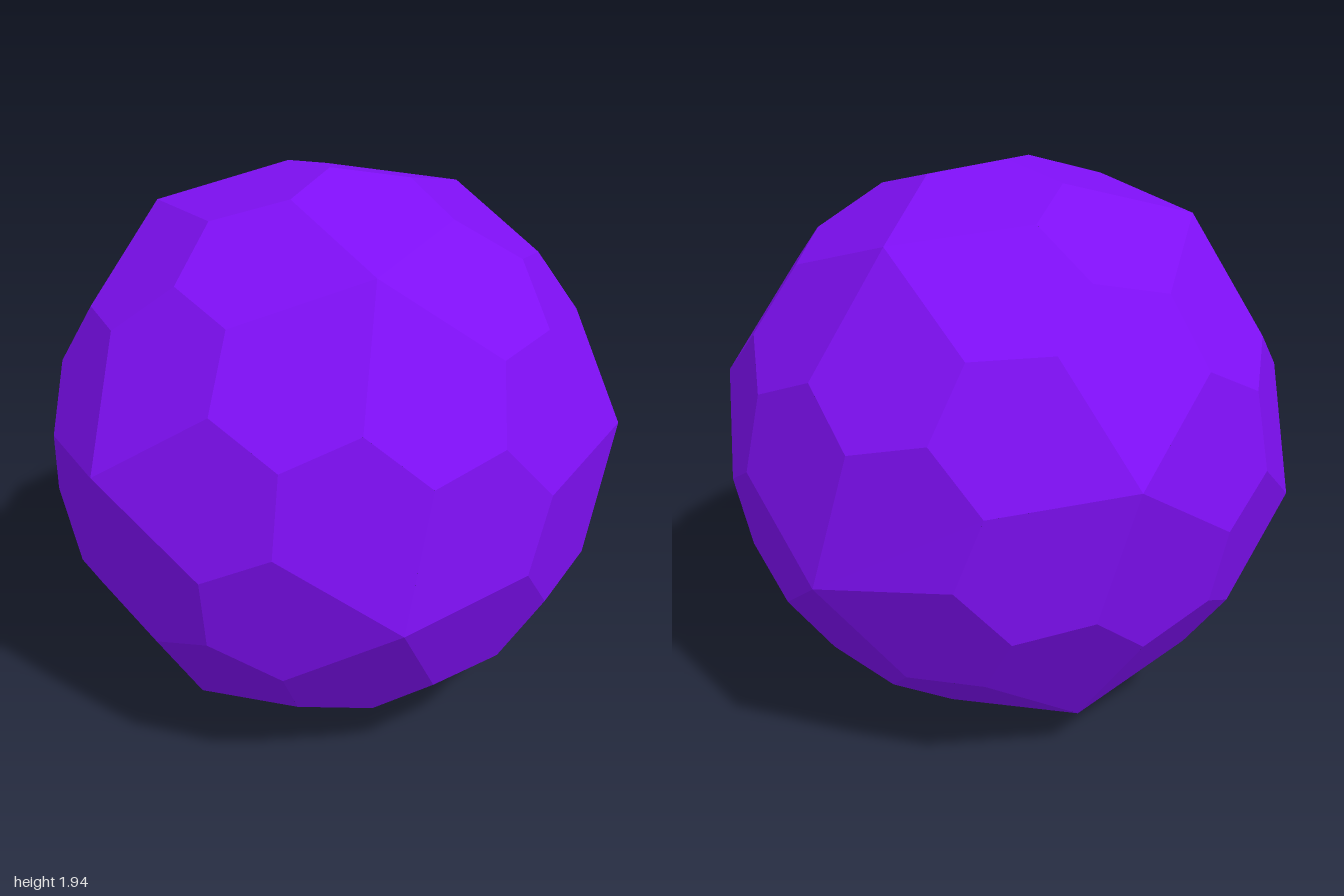
import * as THREE from 'three';

// Pentagonal hexecontahedron: one irregular pentagon repeated by the 60 icosahedral rotations.
const DEG = Math.PI / 180;
const R5 = 1.018;   // radius of the corners where five faces meet
const R3 = 0.971;   // radius of the corners where three faces meet

// Point from radius, angle from +y, and azimuth from +x towards +z
function polar(r, tilt, azimuth) {
  const t = tilt * DEG, a = azimuth * DEG;
  return new THREE.Vector3(
    r * Math.sin(t) * Math.cos(a), r * Math.cos(t), r * Math.sin(t) * Math.sin(a));
}

// All 60 rotations, grown from a threefold and a fivefold turn
function rotationGroup(generators) {
  const group = [new THREE.Quaternion()];
  for (let i = 0; i < group.length && group.length < 60; i++) {
    for (const g of generators) {
      const q = group[i].clone().multiply(g).normalize();
      if (!group.some((h) => Math.abs(h.dot(q)) > 0.999)) group.push(q);
    }
  }
  return group;
}

export function createModel() {
  // Corners of the base pentagon
  const five = polar(R5, 37.377, 180);
  const three = polar(R3, 0, 0);
  const p = polar(R3, 15.825, 220.48);
  const turn3 = new THREE.Quaternion().setFromAxisAngle(three.clone().normalize(), 120 * DEG);
  const turn5 = new THREE.Quaternion().setFromAxisAngle(five.clone().normalize(), -72 * DEG);
  const s = p.clone().applyQuaternion(turn3);
  const q = p.clone().applyQuaternion(turn5);
  const pentagon = [five, q, s, three, p];

  // Fan each rotated pentagon into three triangles
  const points = [];
  for (const rotation of rotationGroup([turn3, turn5])) {
    const face = pentagon.map((v) => v.clone().applyQuaternion(rotation));
    for (let i = 1; i < 4; i++) points.push(face[0], face[i], face[i + 1]);
  }
  const geometry = new THREE.BufferGeometry().setFromPoints(points);
  geometry.computeVertexNormals();

  const material = new THREE.MeshStandardMaterial({ color: 0x7f0ff5, flatShading: true });
  const ball = new THREE.Mesh(geometry, material);
  ball.name = 'facetedBall';
  ball.position.y = R3;

  const model = new THREE.Group();
  model.name = 'pentagonalHexecontahedron';
  model.add(ball);
  return model;
}
